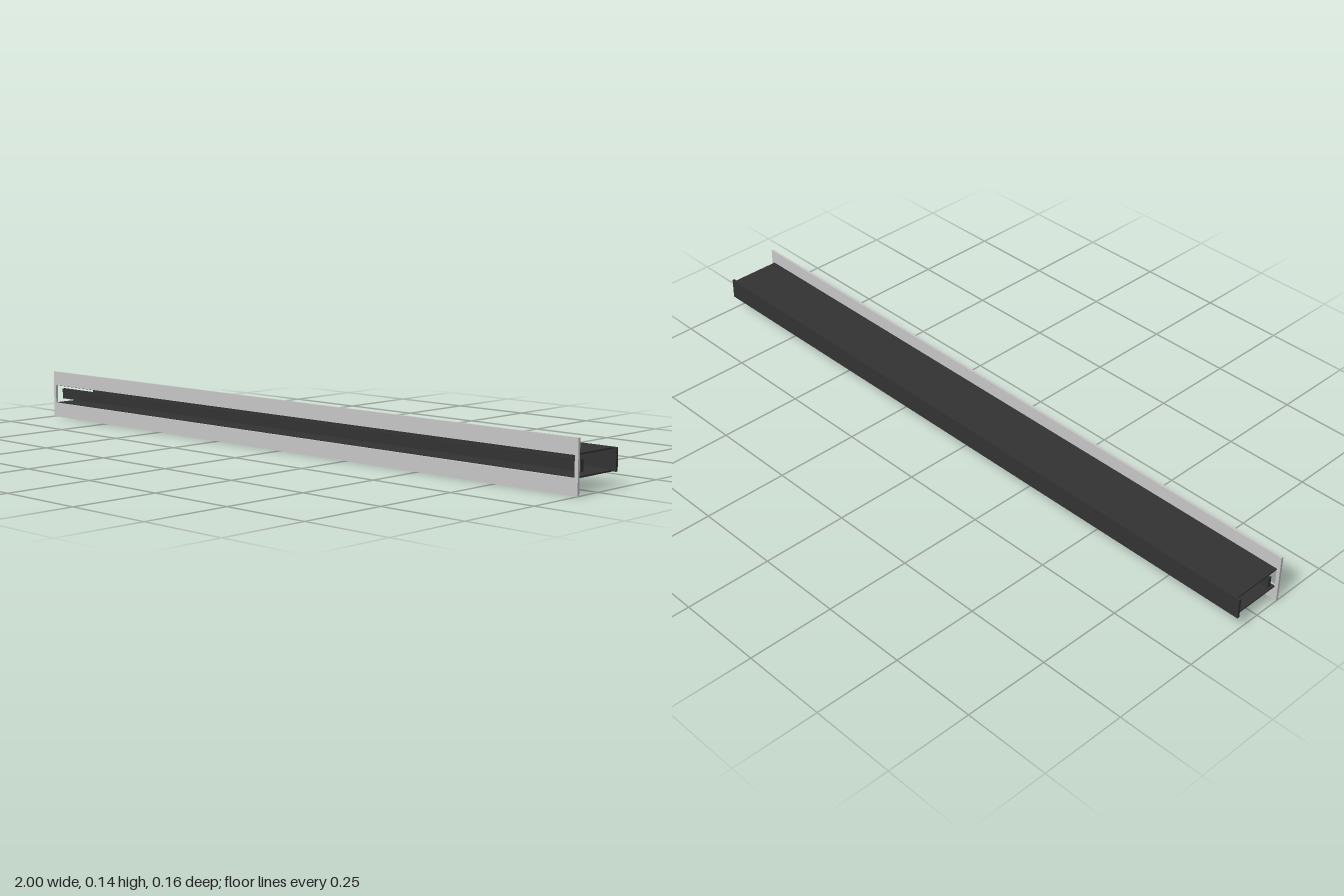
import * as THREE from 'three';

const paint = (name, color) => {
  const m = new THREE.MeshStandardMaterial({ color });
  m.name = name;
  return m;
};

export function createModel() {
  const group = new THREE.Group();
  const lightGrey = paint('lightGrey', 0xc8c8c8);
  const darkGrey = paint('darkGrey', 0x333333);

  // Box given by its limits in y and z, centred on x
  const bar = (name, width, y0, y1, z0, z1) => {
    const mesh = new THREE.Mesh(new THREE.BoxGeometry(width, y1 - y0, z1 - z0), darkGrey);
    mesh.position.set(0, (y0 + y1) / 2, (z0 + z1) / 2);
    mesh.name = name;
    group.add(mesh);
  };

  // Front flange with a long slot
  const rect = (Type, x, y0, y1) => new Type([[-x, y0], [x, y0], [x, y1], [-x, y1]].map(p => new THREE.Vector2(...p)));
  const face = rect(THREE.Shape, 1, 0, 0.141);
  face.holes.push(rect(THREE.Path, 0.99, 0.043, 0.099));
  const flange = new THREE.Mesh(
    new THREE.ExtrudeGeometry(face, { depth: 0.007, bevelEnabled: false }), lightGrey);
  flange.position.z = 0.075;
  flange.name = 'frontFlange';
  group.add(flange);

  // Channel behind the slot, open at both ends
  bar('bottomWall', 1.98, 0.041, 0.045, -0.074, 0.075);
  bar('topWall', 1.98, 0.097, 0.101, -0.074, 0.075);
  bar('backPanel', 2, 0.041, 0.101, -0.081, -0.074);

  // Blade inside the slot
  bar('blade', 1.98, 0.055, 0.086, 0.046, 0.056);

  return group;
}
